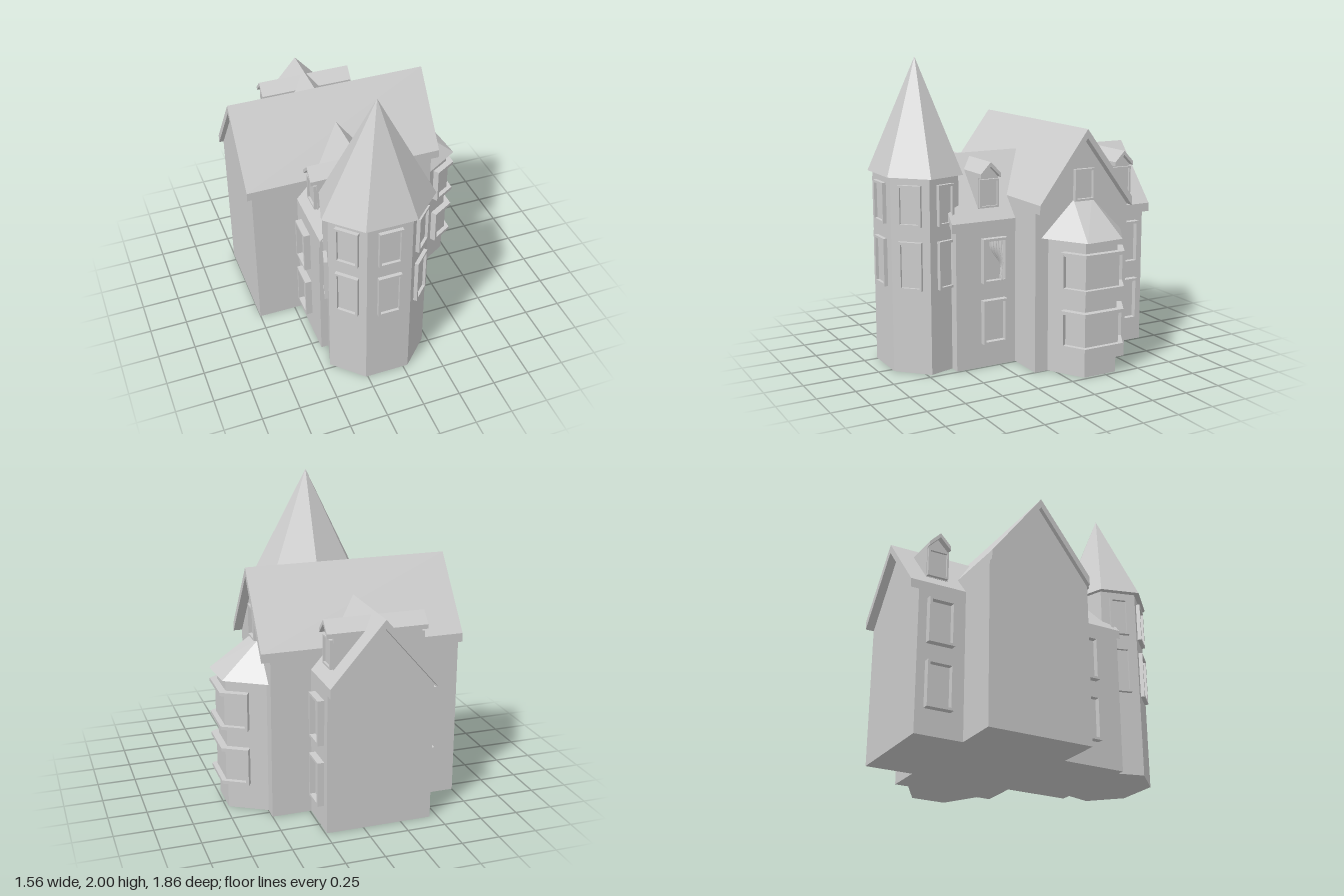
import * as THREE from 'three';
import { ConvexGeometry } from 'three/addons/geometries/ConvexGeometry.js';

const mat = new THREE.MeshStandardMaterial({ color: 0xcccccc, flatShading: true });
const clothMat = new THREE.MeshStandardMaterial({ color: 0xcccccc, side: THREE.DoubleSide });

function mesh(name, geometry, parent, material = mat) {
  const m = new THREE.Mesh(geometry, material);
  m.name = name;
  parent.add(m);
  return m;
}

function group(name, parent, x = 0, y = 0, z = 0, yaw = 0) {
  const g = new THREE.Group();
  g.name = name;
  g.position.set(x, y, z);
  g.rotation.y = yaw;
  parent.add(g);
  return g;
}

const shapeOf = (pts) => new THREE.Shape(pts.map(([x, y]) => new THREE.Vector2(x, y)));

// Extrude a profile from z0 to z1
const prism = (pts, z0, z1) =>
  new THREE.ExtrudeGeometry(shapeOf(pts), { depth: z1 - z0, bevelEnabled: false }).translate(0, 0, z0);

// Extrude a plan outline given as [x, z] from y0 to y1
const plan = (pts, y0, y1) => prism(pts.map(([x, z]) => [x, -z]), y0, y1).rotateX(-Math.PI / 2);

// Walls with gabled ends, and a pitched roof slab of vertical thickness t above them
function gabled(parent, name, { half, base, eave, ridge, t, wall, roof }) {
  mesh(name + 'Walls', prism(
    [[-half, base], [half, base], [half, eave - t], [0, ridge - t], [-half, eave - t]], ...wall), parent);
  mesh(name + 'Roof', prism(
    [[-half, eave - t], [0, ridge - t], [half, eave - t], [half, eave], [0, ridge], [-half, eave]], ...roof), parent);
}

// Framed window standing on the wall plane z = 0, facing +z
function windowUnit(parent, w, h, depth, x, y, z, yaw, rim = 0.016) {
  const g = group('window', parent, x, y, z, yaw);
  const a = w / 2, b = h / 2, c = a - rim, d = b - rim;
  const frame = shapeOf([[-a, -b], [a, -b], [a, b], [-a, b]]);
  frame.holes.push(new THREE.Path([[-c, -d], [-c, d], [c, d], [c, -d]].map((p) => new THREE.Vector2(...p))));
  mesh('windowFrame', new THREE.ExtrudeGeometry(frame, { depth: depth + 0.01, bevelEnabled: false })
    .translate(0, 0, -0.01), g);
  mesh('windowPane', new THREE.BoxGeometry(2 * c, 2 * d, 0.02), g).position.z = -0.004;
  return g;
}

// Curtain gathered to one side, with folds
function curtain(parent) {
  const geo = new THREE.PlaneGeometry(1, 1, 40, 20);
  const p = geo.attributes.position;
  for (let i = 0; i < p.count; i++) {
    const u = p.getX(i) + 0.5, v = 0.5 - p.getY(i);
    const left = v < 0.65
      ? THREE.MathUtils.lerp(-0.035, 0.038, THREE.MathUtils.smoothstep(v, 0.1, 0.65))
      : THREE.MathUtils.lerp(0.038, 0.026, (v - 0.65) / 0.35);
    p.setXYZ(i, THREE.MathUtils.lerp(left, 0.06, u), 0.125 - 0.262 * v,
      0.022 + 0.015 * v + 0.008 * Math.sin(u * Math.PI * 10));
  }
  geo.computeVertexNormals();
  mesh('curtain', geo, parent, clothMat);
}

// Seven-sided tower with a pointed roof and two rows of windows
function tower(house) {
  const g = group('tower', house, -0.115, 0, 0.66);
  const rx = 0.34, rz = 0.272, step = Math.PI / 7;
  mesh('towerWalls', new THREE.CylinderGeometry(1, 1, 1.27, 7, 1, false, step)
    .scale(rx, 1, rz).translate(0, 0.635, 0), g);
  mesh('towerRoof', new THREE.ConeGeometry(1, 0.73, 7, 1, false, step)
    .scale(0.383, 1, 0.3).translate(0, 1.635, 0), g);
  for (let i = -2; i <= 2; i++) {
    const a = (2 * i - 1) * step, b = (2 * i + 1) * step;
    const ax = rx * Math.sin(a), az = rz * Math.cos(a), bx = rx * Math.sin(b), bz = rz * Math.cos(b);
    const yaw = Math.atan2(az - bz, bx - ax);
    const w = Math.abs(i) === 2 ? 0.125 : 0.155;
    windowUnit(g, w, 0.312, 0.025, (ax + bx) / 2, 0.707, (az + bz) / 2, yaw);
    windowUnit(g, w, 0.262, 0.025, (ax + bx) / 2, 1.092, (az + bz) / 2, yaw);
  }
}

// Angled bay on the +x gable, with wrap-around window bands
function bay(house) {
  const g = group('bay', house);
  mesh('bayWalls', plan([[0.45, 0.04], [0.49, 0.04], [0.73, -0.1], [0.73, -0.335], [0.49, -0.475], [0.45, -0.475]], 0, 0.89), g);
  const roof = [[0.5, 0.085], [0.775, -0.085], [0.755, -0.355], [0.5, -0.515]].map(([x, z]) => new THREE.Vector3(x, 0.88, z));
  roof.push(new THREE.Vector3(0.5, 1.105, -0.15), new THREE.Vector3(0.5, 1.105, -0.29));
  mesh('bayRoof', new ConvexGeometry(roof), g);

  // Plan strip following the bay faces, d proud of the wall; s trims the ends
  const strip = (d, s) => {
    const cx = 0.73 + d, k = d * 0.57, ex = 0.6 + s, ez = -0.024 - s * 0.583;
    const nx = 0.504 * d, nz = 0.864 * d;
    return [[ex, ez], [ex + nx, ez + nz], [cx, -0.1 + k], [cx, -0.335 - k],
      [ex + nx, -0.411 + s * 0.583 - nz], [ex, -0.411 + s * 0.583], [0.7, -0.335], [0.7, -0.1]];
  };
  for (const [y0, y1] of [[0.18, 0.428], [0.555, 0.805]]) {
    const band = group('bayWindow', g);
    mesh('lowerRail', plan(strip(0.044, 0), y0, y0 + 0.022), band);
    mesh('upperRail', plan(strip(0.044, 0), y1 - 0.022, y1), band);
    mesh('bayPanes', plan(strip(0.013, 0.01), y0 + 0.01, y1 - 0.01), band);
    // End posts
    for (const s of [1, -1]) {
      const nx = 0.504 * 0.044, nz = 0.864 * 0.044;
      const post = [[0.6, -0.024], [0.6 + nx, -0.024 + nz], [0.616 + nx, -0.0333 + nz], [0.616, -0.0333]]
        .map(([x, z]) => [x, s > 0 ? z : -0.435 - z]);
      mesh('bayPost', plan(s > 0 ? post : post.reverse(), y0, y1), band);
    }
  }
}

// Dormer facing outward on the long roof
function dormer(house, x, z, yaw) {
  const g = group('dormer', house, x, 0, z, yaw);
  gabled(g, 'dormer', {
    half: 0.072, base: 1.04, eave: 1.268, ridge: 1.342, t: 0.028, wall: [-0.23, 0], roof: [-0.27, 0.04],
  });
  windowUnit(g, 0.138, 0.185, 0.02, 0, 1.137, 0, 0, 0.012);
}

export function createModel() {
  const house = new THREE.Group();
  house.name = 'house';

  // Long wing, ridge running front to back
  const cx = -0.105, half = 0.345;
  gabled(group('longWing', house, cx), 'longWing', {
    half, base: 0, eave: 0.968, ridge: 1.365, t: 0.058, wall: [-0.875, 0.555], roof: [-0.93, 0.58],
  });

  // Cross wing, taller, ridge running side to side
  const cz = -0.217;
  gabled(group('crossWing', house, 0, 0, cz, Math.PI / 2), 'crossWing', {
    half, base: 0, eave: 1.1, ridge: 1.558, t: 0.058, wall: [-0.752, 0.5], roof: [-0.782, 0.557],
  });
  windowUnit(house, 0.146, 0.205, 0.03, 0.5, 1.2, -0.22, Math.PI / 2, 0.013);

  // Side windows and dormers on both sides of the long wing
  for (const side of [1, -1]) {
    const yaw = side * Math.PI / 2;
    for (const z of [0.293, -0.733]) {
      for (const y of [0.307, 0.713]) {
        const unit = windowUnit(house, 0.172, 0.292, 0.043, cx + side * half, y, z, yaw);
        if (side > 0 && z > 0 && y > 0.5) curtain(unit);
      }
      dormer(house, cx + side * 0.285, z, yaw);
    }
  }

  tower(house);
  bay(house);
  return house;
}
